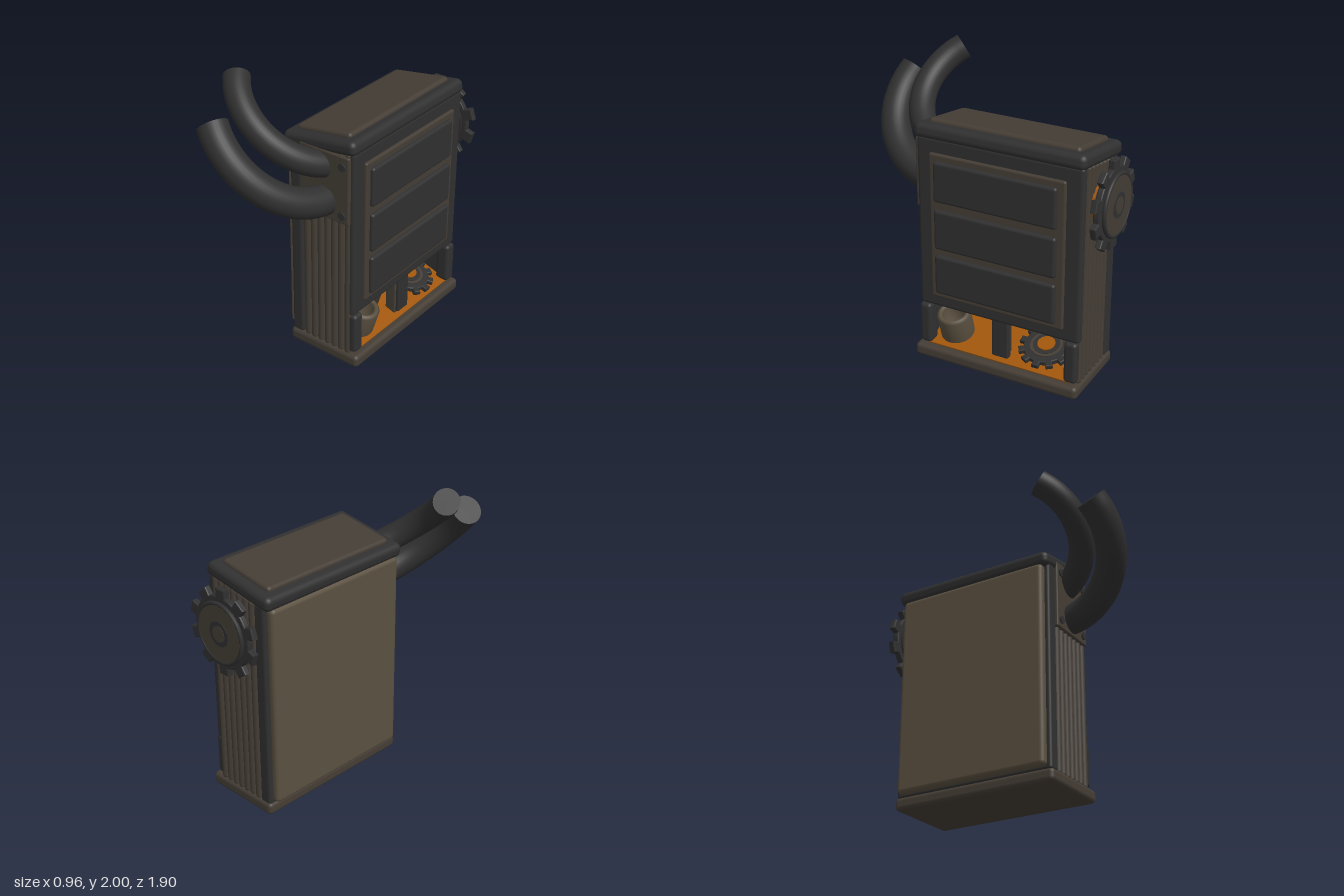
import * as THREE from 'three';
import { RoundedBoxGeometry } from 'three/addons/geometries/RoundedBoxGeometry.js';

const mat = (color) => new THREE.MeshStandardMaterial({ color, side: THREE.DoubleSide });
const dark = mat(0x303030), brown = mat(0x443d35), tan = mat(0x5a5040), orange = mat(0xa0560a);

function add(parent, name, geometry, material, x = 0, y = 0, z = 0) {
  const mesh = new THREE.Mesh(geometry, material);
  mesh.name = name;
  mesh.position.set(x, y, z);
  parent.add(mesh);
  return mesh;
}

// Rounded box given by its limits on each axis
function block(parent, name, material, [x0, x1], [y0, y1], [z0, z1], r = 0.02) {
  const w = x1 - x0, h = y1 - y0, d = z1 - z0;
  const geo = new RoundedBoxGeometry(w, h, d, 3, Math.min(r, w * 0.45, h * 0.45, d * 0.45));
  return add(parent, name, geo, material, (x0 + x1) / 2, (y0 + y1) / 2, (z0 + z1) / 2);
}

// Toothed wheel lying in the xy plane, centred on z = 0
function gearGeometry(root, tip, teeth, thickness) {
  const shape = new THREE.Shape();
  const step = (Math.PI * 2) / teeth;
  const bevel = thickness * 0.2;
  for (let i = 0; i < teeth; i++) {
    const profile = [[-0.5, root], [-0.35, root], [-0.22, root], [-0.18, tip], [0.18, tip], [0.22, root], [0.35, root]];
    profile.forEach(([t, r], k) => {
      const a = Math.PI / 2 + (i + t) * step, q = r - bevel;
      shape[i + k === 0 ? 'moveTo' : 'lineTo'](q * Math.cos(a), q * Math.sin(a));
    });
  }
  shape.closePath();
  const geo = new THREE.ExtrudeGeometry(shape, {
    depth: thickness - 2 * bevel, bevelThickness: bevel, bevelSize: bevel, bevelSegments: 2,
  });
  geo.translate(0, 0, -thickness / 2 + bevel);
  return geo;
}

const disc = (r, h) => new THREE.CylinderGeometry(r, r, h, 40);

// Pipe on a circular arc that leaves the front face and sweeps along (dx, dy)
function pipe(parent, name, start, [dx, dy], centreS, centreZ, bend, endS, radius) {
  const a0 = Math.asin((0.34 - centreZ) / bend);
  const a1 = Math.PI - Math.acos((endS - centreS) / bend);
  const points = [];
  for (let i = 0; i <= 12; i++) {
    const a = a0 + ((a1 - a0) * i) / 12;
    const s = centreS - bend * Math.cos(a);
    points.push(new THREE.Vector3(start[0] + dx * s, start[1] + dy * s, centreZ + bend * Math.sin(a)));
  }
  const curve = new THREE.CatmullRomCurve3(points);
  add(parent, name, new THREE.TubeGeometry(curve, 48, radius, 28), dark);
  const cap = add(parent, name + 'Cap', new THREE.CircleGeometry(radius, 28), dark);
  cap.position.copy(points[12]);
  cap.quaternion.setFromUnitVectors(new THREE.Vector3(0, 0, 1), curve.getTangent(1));
}

export function createModel() {
  const model = new THREE.Group();
  model.name = 'machine';

  // Base, back frame and back plate
  block(model, 'base', brown, [-0.1, 0.47], [0, 0.09], [-0.82, 0.385], 0.03);
  block(model, 'backFrame', dark, [-0.09, 0], [0.08, 1.53], [-0.81, 0.37], 0.02);
  block(model, 'backPlate', tan, [-0.14, -0.07], [0.1, 1.51], [-0.78, 0.34], 0.03);

  // Upper housing with a sloping top
  const profile = new THREE.Shape([[0, 0.4], [0.4, 0.4], [0.4, 1.6], [0, 1.53]].map((p) => new THREE.Vector2(...p)));
  const core = new THREE.ExtrudeGeometry(profile, { depth: 1.12, bevelEnabled: false });
  add(model, 'housing', core, dark, 0, 0, -0.78);

  // End walls with vertical ribs
  for (const z of [0.34, -0.78]) {
    const inner = z > 0 ? z - 0.04 : z + 0.04;
    block(model, 'endWall', dark, [-0.02, 0.4], [0.08, 0.42], [Math.min(z, inner), Math.max(z, inner)], 0.005);
    for (let i = 0; i < 7; i++) {
      const top = 1.51 + i * 0.01;
      const rib = new THREE.CapsuleGeometry(0.026, top - 0.1, 6, 14);
      add(model, 'rib', rib, brown, 0.035 + i * 0.056, (top + 0.1) / 2, z > 0 ? 0.345 : -0.785);
    }
  }

  // Tilted lid with raised top plate
  const lid = new THREE.Group();
  lid.name = 'lid';
  lid.position.set(0.145, 1.588, -0.22);
  lid.rotation.z = 0.16;
  model.add(lid);
  block(lid, 'lidRim', dark, [-0.287, 0.287], [-0.05, 0.05], [-0.6, 0.6], 0.04);
  block(lid, 'lidPlate', brown, [-0.215, 0.215], [0.02, 0.077], [-0.53, 0.53], 0.025);

  // Side door: frame, trim and three panels
  block(model, 'doorFrame', dark, [0.35, 0.42], [0.39, 1.6], [-0.81, 0.36], 0.025);
  block(model, 'doorTrim', brown, [0.38, 0.44], [0.475, 1.5], [-0.7, 0.26], 0.015);
  for (const y of [0.515, 0.84, 1.175]) {
    block(model, 'doorPanel', dark, [0.41, 0.465], [y, y + 0.28], [-0.65, 0.22], 0.02);
  }

  // Posts around the open lower bay
  block(model, 'cornerPost', dark, [0.34, 0.44], [0.1, 0.395], [0.275, 0.36], 0.025);
  block(model, 'cornerPost', dark, [0.34, 0.44], [0.1, 0.395], [-0.8, -0.71], 0.025);
  block(model, 'middlePost', brown, [0.3, 0.38], [0.08, 0.41], [-0.27, -0.16], 0.01);
  block(model, 'middlePostCover', dark, [0.35, 0.4], [0.12, 0.4], [-0.29, -0.175], 0.01);

  // Sloping tray with a cup, a curved guard and a small gear
  const tray = new THREE.Group();
  tray.name = 'tray';
  tray.position.set(0.42, 0.1, 0);
  tray.rotation.z = -0.3;
  model.add(tray);
  block(tray, 'trayFloor', orange, [-0.43, 0], [-0.02, 0], [-0.75, 0.31], 0.004);
  const cup = [[0, 0], [0.1, 0], [0.115, 0.015], [0.115, 0.185], [0.1, 0.2], [0.085, 0.2], [0.075, 0.185], [0.075, 0.03], [0, 0.03]];
  add(tray, 'cup', new THREE.LatheGeometry(cup.map((p) => new THREE.Vector2(...p)), 32), tan, -0.14, 0, 0.15);
  const guard = new THREE.CylinderGeometry(0.23, 0.23, 0.18, 24, 1, true, Math.PI, Math.PI / 2);
  add(tray, 'guard', guard, brown, -0.17, 0.09, 0.1);
  const smallGear = new THREE.Group();
  smallGear.name = 'smallGear';
  smallGear.position.set(-0.2, 0.04, -0.5);
  tray.add(smallGear);
  add(smallGear, 'smallGearWheel', gearGeometry(0.155, 0.19, 12, 0.035), dark).rotation.x = -Math.PI / 2;
  add(smallGear, 'smallGearRing', disc(0.11, 0.05), brown);
  add(smallGear, 'smallGearFace', disc(0.09, 0.054), dark);
  add(smallGear, 'smallGearHub', disc(0.06, 0.07), orange);

  // Front pipe flange, bolts and pipes
  block(model, 'pipeFlange', brown, [0, 0.395], [1.09, 1.57], [0.33, 0.384], 0.012);
  for (const x of [0.05, 0.345]) for (const y of [1.15, 1.5]) {
    add(model, 'bolt', disc(0.027, 0.02), dark, x, y, 0.384).rotation.x = Math.PI / 2;
  }
  pipe(model, 'upperPipe', [0.2, 1.43], [-0.77, 0.63], 0.46, 0.15, 0.47, 0.79, 0.088);
  pipe(model, 'lowerPipe', [0.2, 1.21], [-0.69, 0.73], 0.55, 0.3, 0.55, 0.74, 0.102);

  // Large rear gear on its axle
  const gear = new THREE.Group();
  gear.name = 'rearGear';
  gear.position.set(0.18, 1.3, -0.897);
  model.add(gear);
  add(gear, 'gearWheel', gearGeometry(0.245, 0.3, 10, 0.045), dark);
  const layers = [
    ['gearRim', 0.21, 0.07, 0, dark], ['gearDisc', 0.19, 0.086, 0, brown],
    ['gearCollar', 0.085, 0.02, -0.036, dark], ['gearCap', 0.055, 0.03, -0.034, brown],
    ['axle', 0.05, 0.1, 0.055, orange], ['axleFlange', 0.12, 0.03, 0.075, orange],
  ];
  for (const [name, r, h, z, m] of layers) add(gear, name, disc(r, h), m, 0, 0, z).rotation.x = Math.PI / 2;
  add(gear, 'gearBead', new THREE.TorusGeometry(0.2, 0.014, 10, 48), dark, 0, 0, -0.033);

  return model;
}
